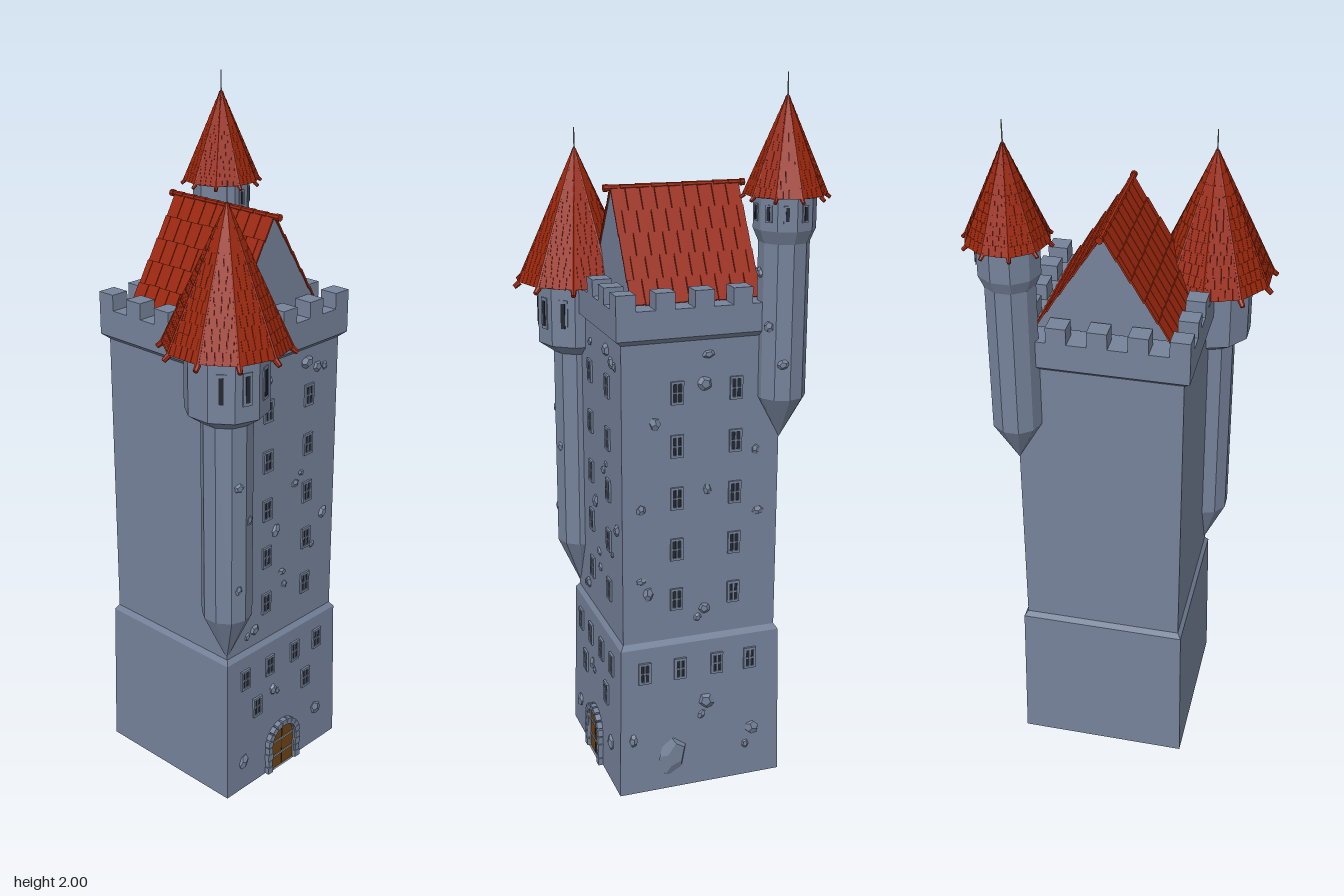
import * as THREE from 'three';
import { mergeGeometries } from 'three/addons/utils/BufferGeometryUtils.js';

const mat = (name, color, extra = {}) => Object.assign(new THREE.MeshStandardMaterial({ color, flatShading: true, ...extra }), { name });
const CX = -0.032, CZ = -0.027; // keep axis
const half = (y) => (y < 0.45 ? 0.2425 - 0.0167 * y : 0.225); // wall half width at height y

export function createModel() {
  const model = new THREE.Group();
  model.name = 'towerKeep';
  const stone = mat('stone', 0x75829a), red = mat('roofTile', 0x9a260c), wood = mat('wood', 0x6e4312);
  const dark = mat('windowPane', 0x23272f), iron = mat('iron', 0x8d9299);
  let seed = 7;
  const rnd = () => ((seed = (seed * 16807) % 2147483647) / 2147483647);

  const add = (parent, name, geo, m, x = 0, y = 0, z = 0) => {
    const mesh = new THREE.Mesh(geo, m);
    mesh.name = name;
    mesh.position.set(x, y, z);
    parent.add(mesh);
    return mesh;
  };
  // Square block with different half widths at bottom and top
  const block = (name, y0, y1, h0, h1) => {
    const g = new THREE.CylinderGeometry(h1 * Math.SQRT2, h0 * Math.SQRT2, y1 - y0, 4).rotateY(Math.PI / 4);
    add(model, name, g, stone, CX, (y0 + y1) / 2, CZ);
  };
  block('base', 0, 0.45, 0.2425, 0.235);
  block('ledge', 0.45, 0.465, 0.235, 0.225);
  block('shaft', 0.465, 1.32, 0.225, 0.225);
  block('corbel', 1.32, 1.335, 0.225, 0.2425);
  block('parapet', 1.335, 1.412, 0.2425, 0.2425);

  // Merlons around the parapet, alternating with gaps
  const cell = 0.485 / 9, merlons = [];
  for (let i = 0; i < 9; i += 2) for (let j = 0; j < 9; j += 2) {
    if (i % 8 && j % 8) continue;
    merlons.push(new THREE.BoxGeometry(cell, 0.045, cell).translate((i - 4) * cell, 0, (j - 4) * cell));
  }
  add(model, 'merlons', mergeGeometries(merlons), stone, CX, 1.4345, CZ);

  // Staggered tiles on one roof plane, sloping from apothem R at y = 0 to the axis at y = H
  const tiles = (out, H, R, widthAt, rows, tileW, angle) => {
    const tilt = Math.atan2(R, H) - 0.05, len = Math.hypot(R, H) / rows;
    for (let k = 0; k < rows; k++) {
      const t = (k + 0.45) / rows, w = widthAt(t), n = Math.max(1, Math.round(w / tileW)), tw = w / n;
      const odd = k % 2 && n > 1;
      for (let i = 0; i < n + (odd ? 1 : 0); i++) {
        const a = Math.max(-w / 2, -w / 2 + (i - (odd ? 0.5 : 0)) * tw);
        const b = Math.min(w / 2, -w / 2 + (i + (odd ? 0.5 : 1)) * tw);
        const g = new THREE.BoxGeometry((b - a) * 0.95, len * (1.04 + 0.08 * rnd()), 0.005);
        out.push(g.rotateX(-tilt).translate((a + b) / 2, H * t, R * (1 - t) + 0.002).rotateY(angle));
      }
    }
  };

  // Main saddle roof with stone gables
  const roof = new THREE.Group();
  roof.name = 'mainRoof';
  roof.position.set(CX, 1.42, CZ);
  model.add(roof);
  const tri = new THREE.Shape([new THREE.Vector2(-0.178, 0), new THREE.Vector2(0.178, 0), new THREE.Vector2(0, 0.272)]);
  const prism = new THREE.ExtrudeGeometry(tri, { depth: 0.358, bevelEnabled: false }).translate(0, 0, -0.179).rotateY(Math.PI / 2);
  add(roof, 'gables', prism, [stone, red]);
  const slopes = [];
  for (const a of [0, Math.PI]) tiles(slopes, 0.275, 0.178, () => 0.367, 5, 0.042, a);
  add(roof, 'roofTiles', mergeGeometries(slopes), red);
  const ridge = [];
  for (let i = 0; i < 9; i++) ridge.push(new THREE.CylinderGeometry(0.007, 0.009, 0.047, 8).rotateZ(Math.PI / 2).translate((i - 4) * 0.044, 0.276, 0));
  for (const s of [-1, 1]) ridge.push(new THREE.CylinderGeometry(0.01, 0.01, 0.012, 8).rotateZ(Math.PI / 2).translate(s * 0.195, 0.276, 0));
  add(roof, 'ridge', mergeGeometries(ridge), red);

  // Ten-sided corner turret with tiled spire
  const turret = (name, x, z, turn, p) => {
    const g = new THREE.Group();
    g.name = name;
    g.position.set(x, 0, z);
    g.rotation.y = turn;
    model.add(g);
    const profile = [[0, p.tip], [p.r, p.y0], [p.r, p.y1], [p.head, p.y2], [p.head, p.eave + 0.01], [0, p.eave + 0.01]];
    add(g, 'turretWall', new THREE.LatheGeometry(profile.map((v) => new THREE.Vector2(...v)), 10), stone);
    const H = p.apex - p.eave, R = p.roof, ap = R * Math.cos(Math.PI / 10);
    add(g, 'spireCore', new THREE.ConeGeometry(R, H, 10), red, 0, p.eave + H / 2, 0);
    const shingles = [], ribs = [];
    const end = R + p.knob * 1.7, dy = -(end - R) * 0.7, len = Math.hypot(R, H);
    for (let i = 0; i < 10; i++) {
      const a = (i * Math.PI) / 5;
      tiles(shingles, H, ap, (t) => 2 * R * (1 - t) * Math.sin(Math.PI / 10), p.rows, p.tile, a + Math.PI / 10);
      ribs.push(new THREE.CylinderGeometry(p.knob * 0.35, p.knob * 0.6, len * 1.03, 6).rotateX(-Math.atan2(R, H)).translate(0, H / 2, R / 2 + 0.002).rotateY(a));
      ribs.push(new THREE.CylinderGeometry(p.knob, p.knob * 0.8, p.knob * 2.4, 7).rotateX(-0.9).translate(0, dy, end - p.knob * 0.8).rotateY(a));
    }
    add(g, 'spireTiles', mergeGeometries(shingles), red, 0, p.eave, 0);
    add(g, 'spireRibs', mergeGeometries(ribs), red, 0, p.eave, 0);
    add(g, 'spireCap', new THREE.ConeGeometry(R * 0.11, H * 0.1, 10), red, 0, p.apex - H * 0.03, 0);
    add(g, 'finial', new THREE.CylinderGeometry(0.0015, 0.002, p.top - p.apex + 0.02, 6), iron, 0, (p.top + p.apex - 0.02) / 2, 0);
    // Narrow slits, angles measured in the world from +z towards +x
    for (const deg of p.slits) {
      const s = new THREE.Group();
      s.name = 'slitWindow';
      s.rotation.y = THREE.MathUtils.degToRad(deg) - turn;
      g.add(s);
      const d = p.head * Math.cos(Math.PI / 10), h = (p.eave - p.y2) * 0.5, y = (p.eave + p.y2) / 2;
      add(s, 'slitFrame', new THREE.BoxGeometry(p.head * 0.24, h, 0.006), stone, 0, y, d);
      add(s, 'slitPane', new THREE.BoxGeometry(p.head * 0.11, h * 0.8, 0.004), dark, 0, y, d + 0.003);
    }
    return g;
  };
  turret('frontTurret', 0.187, 0.193, Math.PI / 10, {
    tip: 0.465, y0: 0.62, y1: 1.205, y2: 1.235, r: 0.071, head: 0.114, eave: 1.415, apex: 1.775, top: 1.835,
    roof: 0.166, knob: 0.0085, rows: 13, tile: 0.019, slits: [36, 72, 108, 144],
  });
  turret('backTurret', -0.258, -0.252, 0, {
    tip: 1.03, y0: 1.15, y1: 1.57, y2: 1.605, r: 0.068, head: 0.083, eave: 1.695, apex: 1.94, top: 2,
    roof: 0.106, knob: 0.006, rows: 11, tile: 0.016, slits: [90, 126, 162, 198],
  });

  // Places a holder on the door wall (+x) or the back wall (-z), local z pointing outwards
  const onWall = (name, side, u, y) => {
    const g = new THREE.Group();
    g.name = name;
    if (side === 'door') { g.position.set(CX + half(y), y, u); g.rotation.y = Math.PI / 2; }
    else { g.position.set(u, y, CZ - half(y)); g.rotation.y = Math.PI; }
    model.add(g);
    return g;
  };
  const rect = (C, x, y, w, h) => new C([[x, y], [x + w, y], [x + w, y + h], [x, y + h]].map((v) => new THREE.Vector2(...v)));

  // Framed windows with a mullion
  const frame = rect(THREE.Shape, -0.018, -0.032, 0.036, 0.064);
  for (const x of [-0.0115, 0.0025]) for (const y of [-0.025, 0.002]) frame.holes.push(rect(THREE.Path, x, y, 0.009, 0.023));
  const frameGeo = new THREE.ExtrudeGeometry(frame, { depth: 0.012, bevelEnabled: false }).translate(0, 0, -0.006);
  const paneGeo = new THREE.BoxGeometry(0.03, 0.056, 0.004);
  const windowAt = (side, u, y) => {
    const g = onWall('window', side, u, y);
    add(g, 'windowFrame', frameGeo, stone);
    add(g, 'windowPane', paneGeo, dark, 0, 0, 0.0005);
  };
  for (const side of ['door', 'back']) {
    for (let k = 0; k < 5; k++) for (const u of [0.038, -0.13]) windowAt(side, u, 0.585 + k * 0.149);
    for (const u of [0.135, 0.03, -0.08, -0.18]) windowAt(side, u, 0.375);
  }
  for (const u of [0.085, -0.13]) windowAt('door', u, 0.26);

  // Arched door with voussoir surround and iron bands
  const arch = (C, w, h) => {
    const s = new C();
    s.moveTo(-w, 0).lineTo(w, 0).lineTo(w, h);
    s.absarc(0, h, w, 0, Math.PI, false);
    s.lineTo(-w, 0);
    return s;
  };
  const door = onWall('doorway', 'door', -0.022, 0);
  const surround = arch(THREE.Shape, 0.057, 0.093);
  surround.holes.push(arch(THREE.Path, 0.05, 0.093));
  add(door, 'doorSurround', new THREE.ExtrudeGeometry(surround, { depth: 0.012, bevelEnabled: false, curveSegments: 10 }), stone, 0, 0, -0.004);
  add(door, 'doorLeaf', new THREE.ExtrudeGeometry(arch(THREE.Shape, 0.05, 0.093), { depth: 0.006, bevelEnabled: false, curveSegments: 10 }), wood, 0, 0, -0.004);
  for (const y of [0.045, 0.095]) add(door, 'ironBand', new THREE.BoxGeometry(0.094, 0.006, 0.004), iron, 0, y, 0.003);
  add(door, 'doorSeam', new THREE.BoxGeometry(0.002, 0.14, 0.002), dark, 0, 0.07, 0.0022);
  for (let i = 0; i < 9; i++) {
    const a = ((i + 0.5) * Math.PI) / 9;
    add(door, 'archStone', new THREE.BoxGeometry(0.018, 0.019, 0.016), stone, Math.cos(a) * 0.061, 0.093 + Math.sin(a) * 0.061, 0.006).rotation.z = a;
  }
  for (const s of [-1, 1]) for (let k = 0; k < 4; k++) {
    add(door, 'jambStone', new THREE.BoxGeometry(k % 2 ? 0.016 : 0.021, 0.0215, 0.016), stone, s * 0.061, 0.012 + k * 0.023, 0.006);
  }

  // Protruding rough stones
  const rock = (parent, r, depth, x = 0, y = 0, z = 0) => {
    const g = new THREE.DodecahedronGeometry(1, 0).rotateX(rnd() * 3).rotateZ(rnd() * 3);
    g.scale(r, r * (0.65 + 0.3 * rnd()), depth);
    const m = add(parent, 'roughStone', g, stone, x, y, z);
    m.rotation.z = rnd() * 3;
    return m;
  };
  const rocks = {
    door: [[0.035, 1.265, 0.016], [-0.12, 1.28, 0.024], [-0.165, 1.255, 0.018], [-0.195, 1.25, 0.014], [-0.08, 0.925, 0.016],
      [-0.105, 0.95, 0.012], [0, 0.805, 0.022], [-0.205, 0.79, 0.02], [-0.16, 0.7, 0.012], [-0.03, 0.66, 0.016], [-0.04, 0.615, 0.014],
      [0.085, 0.515, 0.018], [0.115, 0.505, 0.013], [0.015, 0.285, 0.02], [-0.005, 0.27, 0.012], [-0.18, 0.125, 0.024], [0.145, 0.095, 0.026]],
    back: [[0.055, 0.1, 0.062], [-0.05, 0.26, 0.026], [-0.035, 0.22, 0.016], [-0.19, 0.15, 0.024], [-0.17, 0.1, 0.014], [0.17, 0.17, 0.02],
      [0.12, 0.61, 0.022], [0.14, 0.65, 0.016], [-0.045, 0.545, 0.018], [-0.025, 0.52, 0.013], [-0.2, 0.82, 0.018], [-0.05, 0.9, 0.018],
      [-0.05, 1.28, 0.018], [-0.04, 1.2, 0.022], [0.1, 1.1, 0.02], [-0.19, 1.0, 0.015], [0.14, 0.86, 0.016]],
  };
  for (const side in rocks) for (const [u, y, r] of rocks[side]) rock(onWall('wallStone', side, u, y), r, Math.min(0.012, r * 0.5));
  // Stones on the turret shafts: axis x, axis z, height, angle from +z towards +x
  for (const [x, z, y, deg] of [[0.187, 0.193, 1.03, 72], [0.187, 0.193, 0.92, 108], [0.187, 0.193, 0.72, 72],
    [-0.258, -0.252, 1.49, 90], [-0.258, -0.252, 1.35, 126], [-0.258, -0.252, 1.25, 162]]) {
    const g = new THREE.Group();
    g.name = 'turretStone';
    g.position.set(x, y, z);
    g.rotation.y = THREE.MathUtils.degToRad(deg);
    model.add(g);
    rock(g, 0.016, 0.008, 0, 0, 0.066);
  }
  return model;
}
